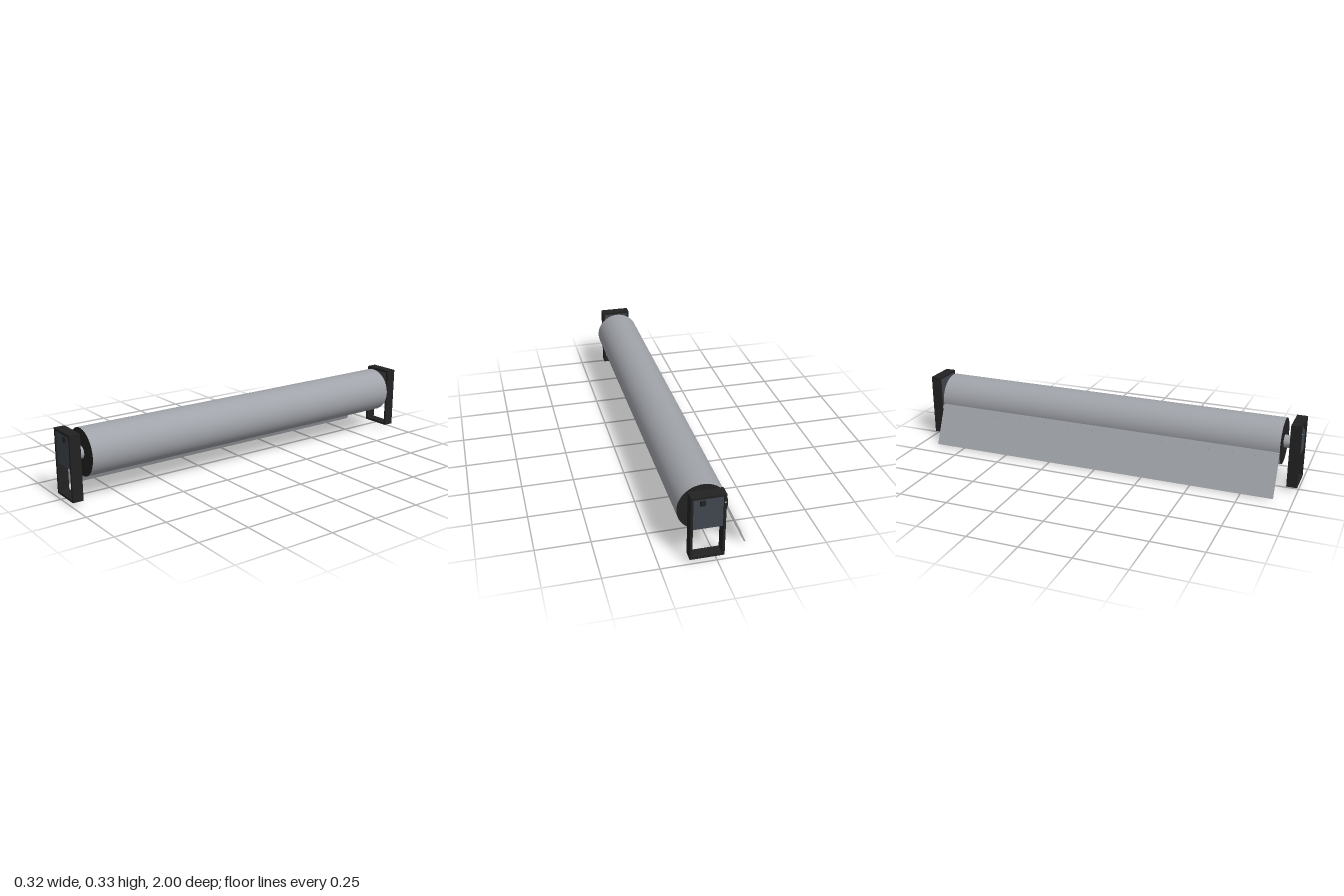
import * as THREE from 'three';

const mat = (name, color) => {
  const m = new THREE.MeshStandardMaterial({ color });
  m.name = name;
  return m;
};

export function createModel() {
  const grey = mat('slat grey', 0xa0a3a9);
  const black = mat('frame black', 0x222222);
  const slate = mat('panel slate', 0x40474e);
  const pale = mat('lamp white', 0xe4e6e8);
  const model = new THREE.Group();
  model.name = 'coverReel';

  const add = (parent, name, geometry, material, x, y, z) => {
    const mesh = new THREE.Mesh(geometry, material);
    mesh.name = name;
    mesh.position.set(x, y, z);
    parent.add(mesh);
    return mesh;
  };
  const box = (w, h, d) => new THREE.BoxGeometry(w, h, d);

  const cx = 0.0435, cy = 0.2215, radius = 0.1135, length = 1.815;

  // Rolled cover: grey outside, dark wound ends
  const roll = add(model, 'coverRoll', new THREE.CylinderGeometry(radius, radius, length, 72),
    [grey, black, black], cx, cy, 0);
  roll.rotation.x = Math.PI / 2;

  // Axle through the roll into both stands
  const axle = add(model, 'axle', new THREE.CylinderGeometry(0.031, 0.031, 1.92, 32), grey, cx, cy, 0);
  axle.rotation.x = Math.PI / 2;

  // Hanging end of the cover, made of slats with a small lip on the outer side
  const sheet = new THREE.Group();
  sheet.name = 'hangingCover';
  sheet.position.set(-0.155, 0.0015, 0);
  sheet.rotation.z = -Math.atan2(0.089, 0.2);
  model.add(sheet);
  const slat = 0.0465;
  for (let i = 0; i < 5; i++) {
    add(sheet, 'slat', box(0.007, slat, length), grey, 0, slat * (i + 0.5), 0);
    if (i < 4) add(sheet, 'slatLip', box(0.003, 0.002, length), grey, -0.0045, slat * (i + 1) + 0.007, 0);
  }

  // Stand outline with a rectangular opening
  const outline = new THREE.Shape();
  outline.moveTo(-0.034, 0.02).lineTo(0.12, 0.02).lineTo(0.12, 0.334).lineTo(-0.034, 0.334).closePath();
  const opening = new THREE.Path();
  opening.moveTo(-0.023, 0.031).lineTo(-0.023, 0.323).lineTo(0.109, 0.323).lineTo(0.109, 0.031).closePath();
  outline.holes.push(opening);
  const frameGeometry = new THREE.ExtrudeGeometry(outline, { depth: 0.052, bevelEnabled: false });

  // A stand at each end
  for (const side of [1, -1]) {
    const stand = new THREE.Group();
    stand.name = side > 0 ? 'frontStand' : 'backStand';
    model.add(stand);
    add(stand, 'frame', frameGeometry, black, 0, 0, side > 0 ? 0.945 : -0.997);
    add(stand, 'panel', box(0.132, 0.153, 0.044), slate, 0.043, 0.2465, side * 0.969);
    add(stand, 'switch', box(0.023, 0.023, 0.009), black, 0.0675, 0.302, side * 0.9955);
    add(stand, 'lamp', box(0.005, 0.006, 0.002), pale, -0.029, 0.293, side * 0.997);
  }

  return model;
}
